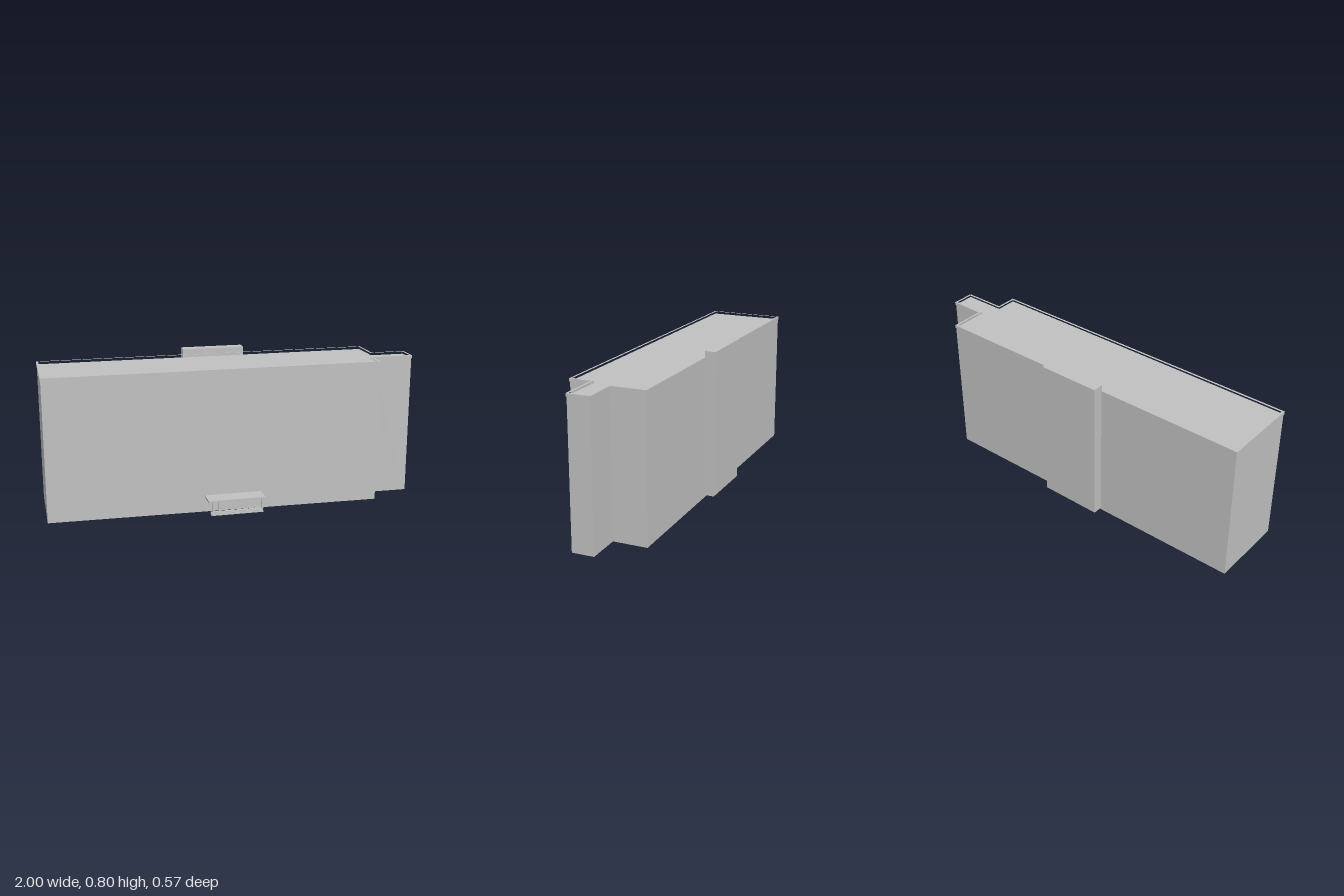
import * as THREE from 'three';

const grey = new THREE.MeshStandardMaterial({ color: 0xc0c0c0 });
grey.name = 'concrete grey';

// Building footprint as [x, -z], clockwise from the back left corner
const FOOTPRINT = [
  [-0.99, 0.243], [0.81, 0.218], [0.81, 0.036], [0.995, 0.034],
  [0.995, -0.083], [0.769, -0.08], [0.769, -0.194], [-0.997, -0.166],
].map(([x, y]) => new THREE.Vector2(x, y));

const TILT = -0.0145; // the whole plan is turned slightly about y

// Mitred outline moved outwards by d (inwards if negative)
function offset(points, d) {
  const n = points.length;
  const normal = (a, b) => {
    const e = b.clone().sub(a).normalize();
    return new THREE.Vector2(-e.y, e.x);
  };
  return points.map((p, i) => {
    const n1 = normal(points[(i + n - 1) % n], p);
    const n2 = normal(p, points[(i + 1) % n]);
    return p.clone().addScaledVector(n1.clone().add(n2), d / (1 + n1.dot(n2)));
  });
}

// Upright prism over a plan shape
function prism(shape, y0, y1) {
  const geo = new THREE.ExtrudeGeometry(shape, { depth: y1 - y0, bevelEnabled: false });
  return geo.rotateX(-Math.PI / 2).translate(0, y0, 0);
}

function add(parent, name, geo) {
  const mesh = new THREE.Mesh(geo, grey);
  mesh.name = name;
  parent.add(mesh);
  return mesh;
}

// Box given by its limits on each axis
function box(parent, name, [x0, x1], [y0, y1], [z0, z1]) {
  const geo = new THREE.BoxGeometry(x1 - x0, y1 - y0, z1 - z0);
  geo.translate((x0 + x1) / 2, (y0 + y1) / 2, (z0 + z1) / 2);
  return add(parent, name, geo);
}

export function createModel() {
  const model = new THREE.Group();
  model.name = 'building';

  // Main block, its underside following the sloping ground
  const block = prism(new THREE.Shape(FOOTPRINT), 0, 0.755);
  const pos = block.attributes.position;
  for (let i = 0; i < pos.count; i++) {
    if (pos.getY(i) < 0.1) pos.setY(i, 0.0075 * (1 - pos.getX(i)));
  }
  block.computeVertexNormals();
  add(model, 'mainBlock', block);

  // Parapet around the roof, overhanging the walls slightly
  const rim = new THREE.Shape(offset(FOOTPRINT, 0.003));
  rim.holes.push(new THREE.Path(offset(FOOTPRINT, -0.008)));
  add(model, 'parapet', prism(rim, 0.754, 0.77));

  // Lift shaft on the back wall
  const rear = new THREE.Group();
  rear.name = 'rearShaft';
  rear.rotation.y = TILT;
  box(rear, 'shaft', [-0.21, 0.127], [0.02, 0.8], [-0.283, -0.226]);
  model.add(rear);

  // Entrance: door, canopy, posts and steps
  const entrance = new THREE.Group();
  entrance.name = 'entrance';
  entrance.rotation.y = TILT;
  box(entrance, 'door', [-0.105, 0.052], [0.02, 0.08], [0.17, 0.197]);
  box(entrance, 'canopy', [-0.177, 0.126], [0.088, 0.099], [0.175, 0.276]);
  for (const x of [-0.156, 0.108]) {
    box(entrance, 'canopyPost', [x, x + 0.01], [0.03, 0.09], [0.254, 0.265]);
  }
  for (let i = 0; i < 3; i++) {
    box(entrance, 'step', [-0.164, 0.113], [0.02 + i * 0.005, 0.025 + i * 0.005],
      [0.255, 0.284 - i * 0.007]);
  }
  model.add(entrance);

  return model;
}
